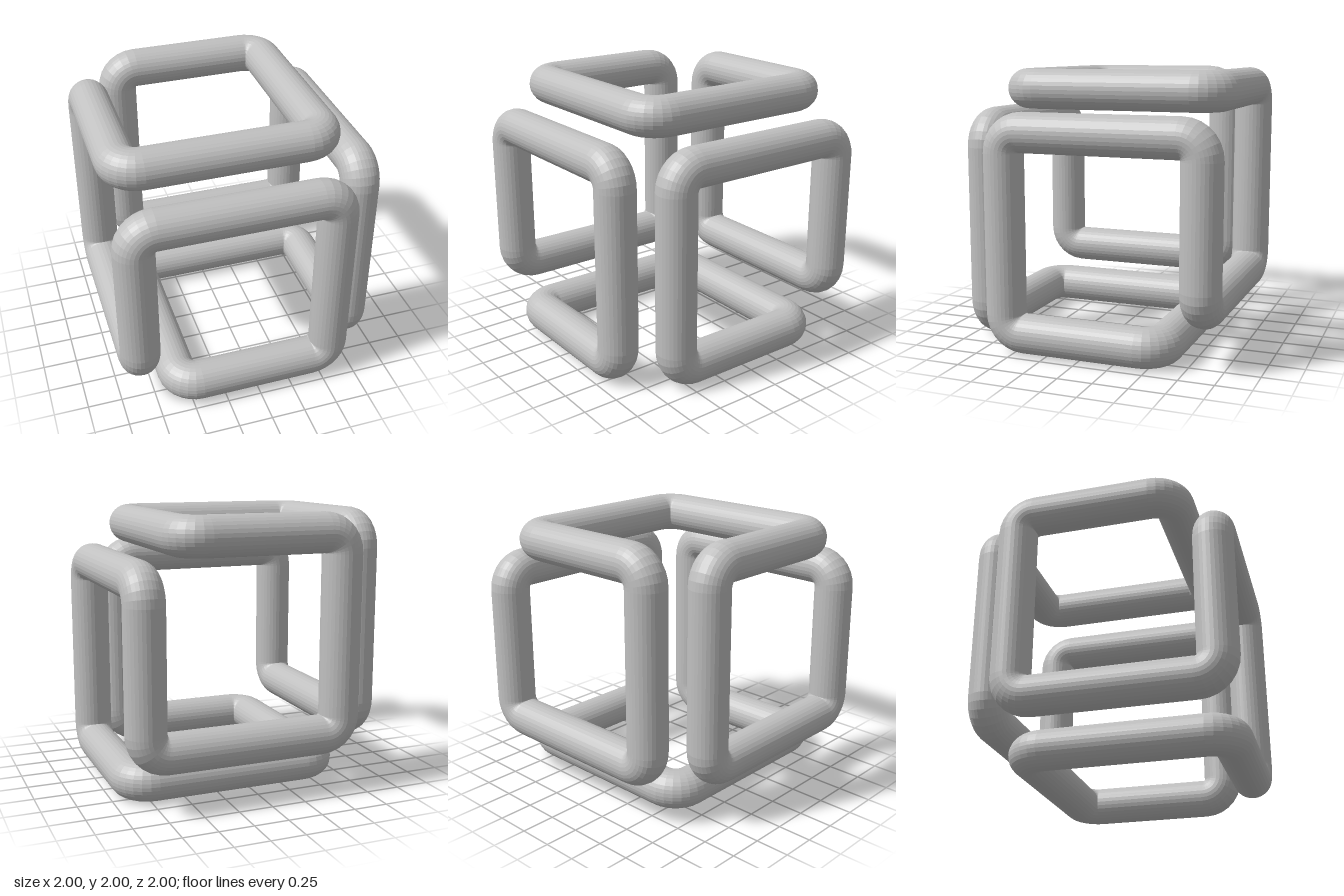
import * as THREE from 'three';

const R = 0.142; // tube radius, also the centre-line radius of each bend
const OUT = 1 - R; // outer layer of bars
const IN = 0.572; // inner layer of bars
const SIDES = 32;

// One third of the closed loop: across the top face and down to the next face.
// The other faces follow by cycling the axes.
const topFace = [
  [-OUT, -IN, -IN],
  [-OUT, OUT, -IN],
  [-OUT, OUT, IN],
  [IN, OUT, IN],
  [IN, OUT, -OUT],
  [-IN, OUT, -OUT],
];

const cycle = ([x, y, z]) => [y, z, x];

export function createModel() {
  const model = new THREE.Group();
  model.name = 'cubeLoop';
  const grey = new THREE.MeshStandardMaterial({ color: 0xc0c0c0, flatShading: true });
  grey.name = 'grey';

  // Corner points of the whole loop
  const points = [];
  let face = topFace;
  for (let i = 0; i < 3; i++) {
    points.push(...face.map((p) => new THREE.Vector3(...p)));
    face = face.map(cycle);
  }

  const bendGeometry = new THREE.TorusGeometry(R, R, SIDES, 7, Math.PI / 2);
  const up = new THREE.Vector3(0, 1, 0);

  points.forEach((p, i) => {
    const next = points[(i + 1) % points.length];
    const prev = points[(i + points.length - 1) % points.length];
    const toNext = next.clone().sub(p).normalize();
    const toPrev = prev.clone().sub(p).normalize();

    // Straight bar to the next corner
    const length = p.distanceTo(next) - 2 * R;
    const bar = new THREE.Mesh(new THREE.CylinderGeometry(R, R, length, SIDES, 1, true), grey);
    bar.name = 'bar' + (i + 1);
    bar.position.copy(p).add(next).multiplyScalar(0.5);
    bar.quaternion.setFromUnitVectors(up, toNext);

    // Quarter bend at this corner
    const bend = new THREE.Mesh(bendGeometry, grey);
    bend.name = 'bend' + (i + 1);
    const xAxis = toPrev.clone().negate();
    const yAxis = toNext.clone().negate();
    const zAxis = xAxis.clone().cross(yAxis);
    bend.quaternion.setFromRotationMatrix(new THREE.Matrix4().makeBasis(xAxis, yAxis, zAxis));
    bend.position.copy(p).addScaledVector(toPrev, R).addScaledVector(toNext, R);

    model.add(bar, bend);
  });

  model.position.y = 1;
  return model;
}
